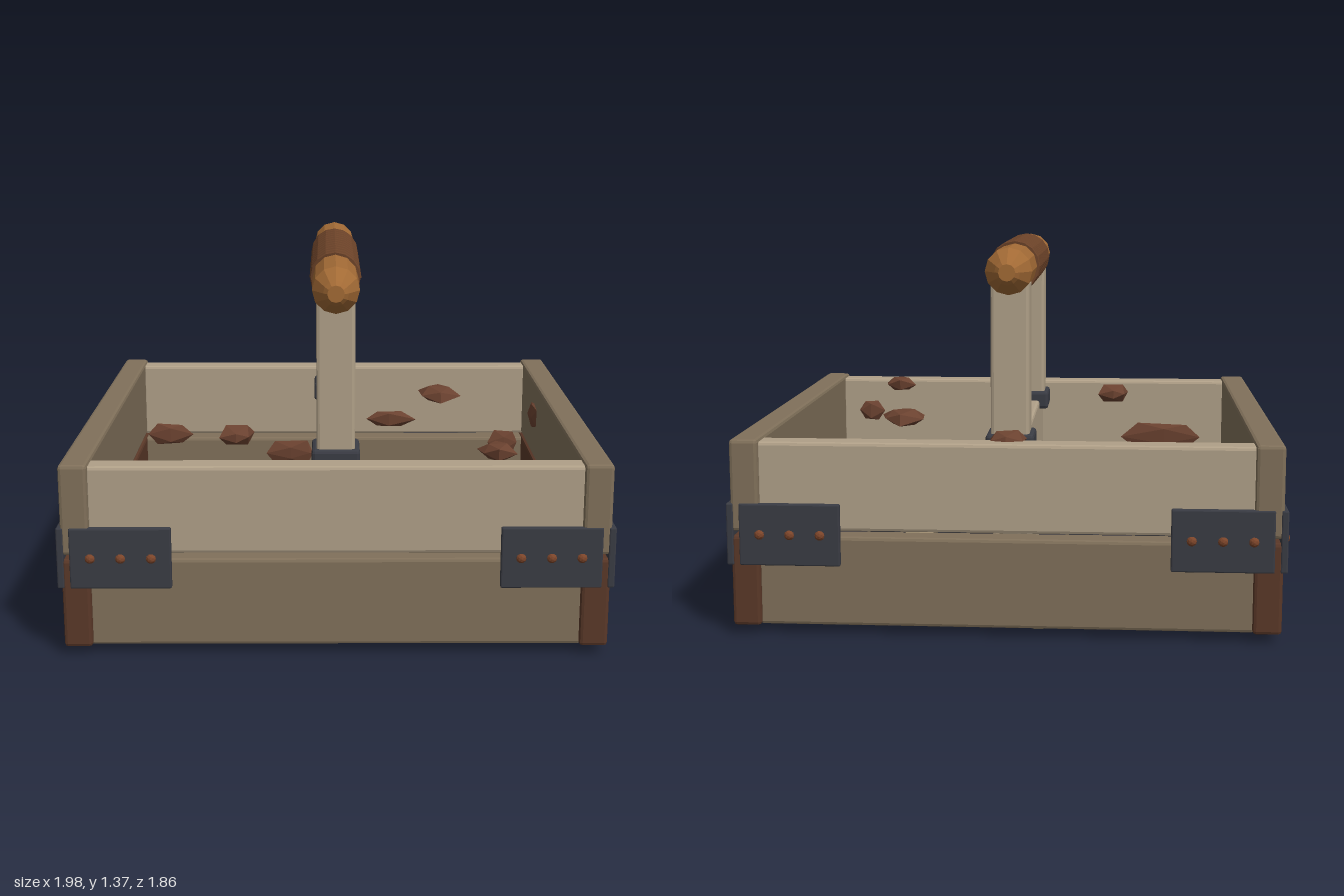
import * as THREE from 'three';
import { RoundedBoxGeometry } from 'three/addons/geometries/RoundedBoxGeometry.js';

const mat = (color, flatShading = true) => new THREE.MeshStandardMaterial({ color, flatShading });
const paleWood = mat(0xb0a088), greyWood = mat(0x80705a), darkWood = mat(0x5a3828);
const iron = mat(0x3a3c44), copper = mat(0x7c452a), barWood = mat(0xa26a35);
const leather = mat(0x6b4228), tanStone = mat(0xc4b08a), brownStone = mat(0x6b4230);
leather.side = THREE.DoubleSide;

export function createModel() {
  const model = new THREE.Group();

  const add = (name, geometry, material, x, y, z) => {
    const mesh = new THREE.Mesh(geometry, material);
    mesh.name = name;
    mesh.position.set(x, y, z);
    model.add(mesh);
    return mesh;
  };
  // Box with chamfered edges
  const plank = (name, w, h, d, material, x, y, z, r = 0.012) =>
    add(name, new RoundedBoxGeometry(w, h, d, 1, r), material, x, y, z);
  const rivetGeometry = new THREE.IcosahedronGeometry(0.019, 1);
  const rivet = (x, y, z) => add('rivet', rivetGeometry, copper, x, y, z);

  // Four walls, each of two planks with a narrow gap
  for (const s of [-1, 1]) {
    plank('endPlankUpper', 1.74, 0.315, 0.1, paleWood, 0, 0.5475, s * 0.84);
    plank('endPlankLower', 1.74, 0.32, 0.1, greyWood, 0, 0.21, s * 0.84);
    plank('sidePlankUpper', 0.1, 0.325, 1.82, greyWood, s * 0.91, 0.5525, 0);
    plank('sidePlankLower', 0.1, 0.325, 1.82, darkWood, s * 0.91, 0.2125, 0);

    // Rivet rows on the side walls
    for (let i = 0; i < 8; i++) rivet(s * 0.963, 0.645, -0.47 + i * 0.134);
    for (let i = 0; i < 9; i++) rivet(s * 0.963, 0.11, -0.53 + i * 0.1325);

    // Iron corner straps
    for (const t of [-1, 1]) {
      plank('endStrap', 0.355, 0.22, 0.025, iron, s * 0.7525, 0.38, t * 0.9025, 0.005);
      plank('sideStrap', 0.025, 0.22, 0.355, iron, s * 0.9625, 0.38, t * 0.735, 0.005);
      for (const p of [0.645, 0.752, 0.858]) rivet(s * p, 0.38, t * 0.909);
      for (const p of [0.625, 0.73, 0.84]) rivet(s * 0.969, 0.38, t * p);
    }

    // Handle posts in iron sockets
    plank('handlePost', 0.14, 0.63, 0.145, paleWood, 0, 0.935, s * 0.557);
    plank('postSocket', 0.175, 0.075, 0.185, iron, 0, 0.66, s * 0.557);
  }

  // Middle divider
  plank('divider', 0.1, 0.6, 1.6, paleWood, 0, 0.36, 0);

  // Iron bars on the right-hand wall
  const bar = (h, d, y, z, tilt) => {
    plank('ironBar', 0.024, h, d, iron, -0.963, y, z, 0.005).rotation.x = tilt;
  };
  bar(0.18, 0.035, 0.56, -0.07, 0.06);
  bar(0.035, 0.19, 0.56, -0.07, 0.06);
  bar(0.035, 0.165, 0.53, 0.32, 0.66);

  // Handle bar with tapered tips
  const profile = [[0, -0.778], [0.03, -0.778], [0.045, -0.76], [0.084, -0.69],
    [0.084, 0.69], [0.045, 0.76], [0.03, 0.778], [0, 0.778]];
  const handle = add('handleBar', new THREE.LatheGeometry(
    profile.map(([r, h]) => new THREE.Vector2(r, h)), 12), barWood, 0, 1.288, 0);
  handle.rotation.x = Math.PI / 2;

  add('gripWrap', wrapGeometry(11, 0.375, 0.028, 0.075, 0.096), leather, 0, 1.288, 0);

  // Chips of stone: [x, y, z, half sizes x, y, z]
  const tan = [
    [-0.51, 0.06, -0.58, 0.065, 0.04, 0.07], [0.38, 0.06, -0.68, 0.095, 0.045, 0.075],
    [-0.44, 0.06, 0.25, 0.08, 0.05, 0.075], [0.48, 0.06, 0.52, 0.095, 0.04, 0.07],
    [-0.14, 0.06, -0.8, 0.075, 0.04, 0.06], [0, 0.05, 0.45, 0.065, 0.045, 0.07],
    [0.95, 0.19, -0.22, 0.045, 0.065, 0.06], [0.95, 0.125, 0.53, 0.035, 0.05, 0.05],
    [0.86, 0.42, 0.2, 0.03, 0.07, 0.15], [0.62, 0.3, 0.79, 0.19, 0.06, 0.025],
    [0.05, 0.25, -0.2, 0.03, 0.06, 0.08],
  ];
  const brown = [
    [0.44, 0.7, -0.27, 0.095, 0.04, 0.1], [-0.37, 0.7, 0.43, 0.07, 0.04, 0.08],
    [0.58, 0.7, 0.67, 0.075, 0.04, 0.065], [0, 0.705, -0.79, 0.075, 0.04, 0.06],
    [-0.86, 0.27, -0.32, 0.025, 0.06, 0.15], [-0.86, 0.38, -0.1, 0.025, 0.06, 0.1],
    [-0.86, 0.3, 0.5, 0.025, 0.06, 0.13], [0.86, 0.57, -0.4, 0.025, 0.07, 0.09],
    [-0.75, 0.39, -0.79, 0.12, 0.06, 0.02], [-0.2, 0.3, -0.79, 0.13, 0.06, 0.025],
    [0.25, 0.46, -0.79, 0.13, 0.05, 0.025], [0.78, 0.35, -0.79, 0.08, 0.06, 0.02],
    [-0.6, 0.45, 0.79, 0.21, 0.07, 0.02], [0.74, 0.56, 0.79, 0.07, 0.06, 0.02],
    [0.05, 0.49, -0.36, 0.025, 0.07, 0.06], [0.05, 0.49, 0.36, 0.025, 0.06, 0.08],
    [-0.05, 0.45, -0.12, 0.025, 0.08, 0.11],
  ];
  for (const [list, material] of [[tan, tanStone], [brown, brownStone]]) {
    list.forEach(([x, y, z, a, b, c], i) => {
      add('stoneChip', stoneGeometry(i + 1), material, x, y, z).scale.set(a, b, c);
    });
  }
  return model;
}

// Irregular faceted stone of unit radius; corners shift by a rule of their position
function stoneGeometry(seed) {
  const geometry = new THREE.IcosahedronGeometry(1, 0);
  const p = geometry.attributes.position, v = new THREE.Vector3();
  for (let i = 0; i < p.count; i++) {
    v.fromBufferAttribute(p, i);
    const wobble = Math.sin(v.x * 5.1 + v.y * 7.3 + v.z * 3.7 + seed * 2.4);
    v.multiplyScalar(0.95 + 0.17 * wobble);
    p.setXYZ(i, v.x, v.y, v.z);
  }
  geometry.computeVertexNormals();
  return geometry;
}

// Strip of rectangular section wound around the z axis
function wrapGeometry(turns, halfLength, halfWidth, inner, outer) {
  const steps = turns * 16, positions = [], index = [];
  const section = [[inner, halfWidth], [outer - 0.004, halfWidth],
    [outer, halfWidth - 0.008], [outer, 0.008 - halfWidth],
    [outer - 0.004, -halfWidth], [inner, -halfWidth]];
  const n = section.length;
  for (let i = 0; i <= steps; i++) {
    const angle = (i / 16) * Math.PI * 2;
    const z = halfLength * (1 - (2 * i) / steps);
    for (const [r, dz] of section) positions.push(r * Math.cos(angle), r * Math.sin(angle), z + dz);
    if (i === steps) break;
    for (let j = 0; j < n; j++) {
      const a = i * n + j, b = i * n + ((j + 1) % n);
      index.push(a, b, a + n, b, b + n, a + n);
    }
  }
  // End caps
  const last = steps * n;
  for (let j = 1; j < n - 1; j++) {
    index.push(0, j + 1, j, last, last + j, last + j + 1);
  }
  const geometry = new THREE.BufferGeometry();
  geometry.setAttribute('position', new THREE.Float32BufferAttribute(positions, 3));
  // Faces wind outward: reverse each triangle
  for (let k = 0; k < index.length; k += 3) [index[k + 1], index[k + 2]] = [index[k + 2], index[k + 1]];
  geometry.setIndex(index);
  geometry.computeVertexNormals();
  return geometry;
}
